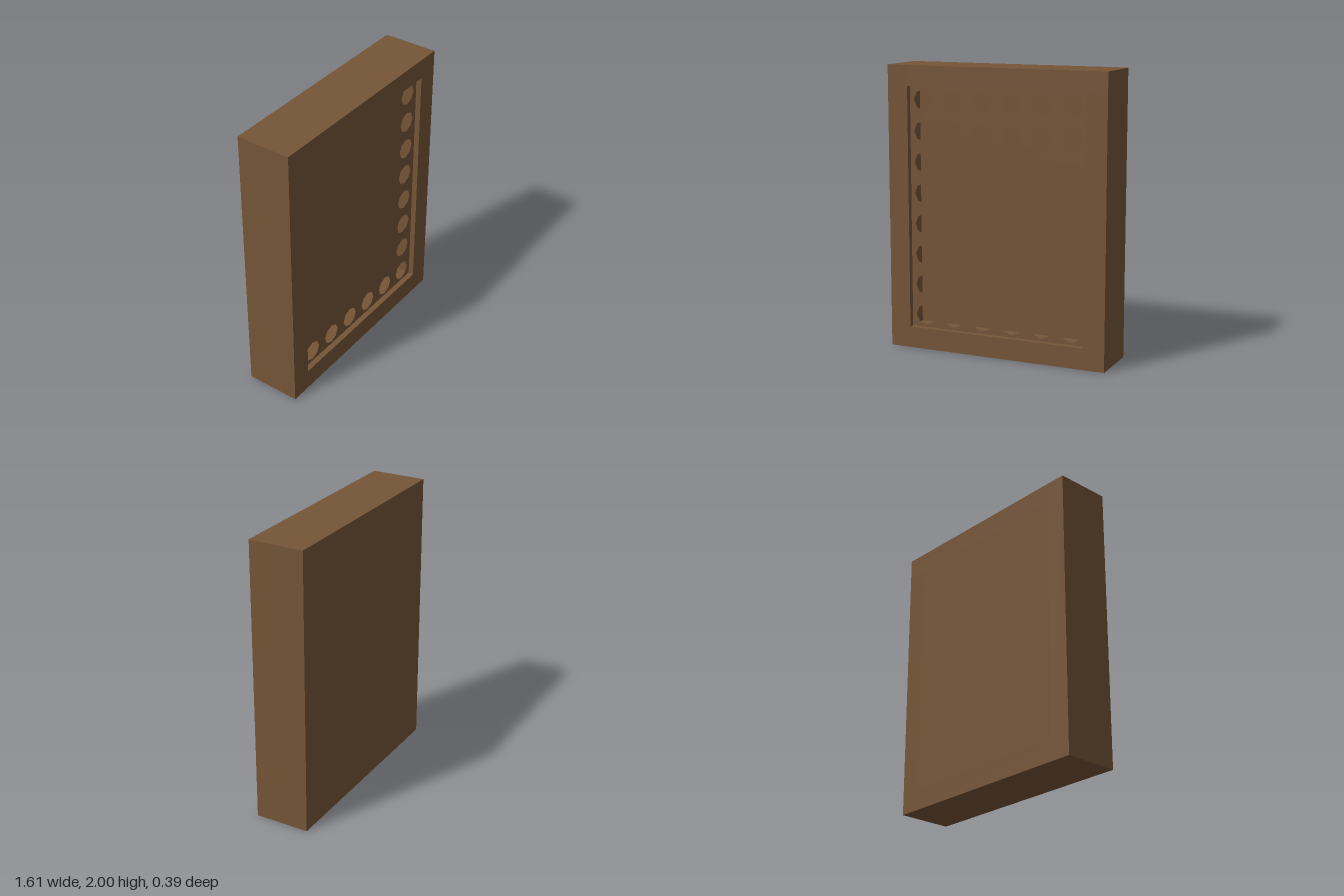
import * as THREE from 'three';

const wood = new THREE.MeshStandardMaterial({ color: 0x755538 });
wood.name = 'brown wood';
const screenWood = new THREE.MeshStandardMaterial({ color: 0x755538, side: THREE.DoubleSide });
screenWood.name = 'brown wood screen';

const W = 0.805, H = 2, D = 0.195; // half width, height, half depth
const B = 0.15;                    // frame bar width
const IN = W - B;                  // half width of the opening

export function createModel() {
  const model = new THREE.Group();
  model.name = 'latticeBox';

  // Box given by its minimum and maximum corners
  const box = (name, x0, x1, y0, y1, z0, z1) => {
    const mesh = new THREE.Mesh(new THREE.BoxGeometry(x1 - x0, y1 - y0, z1 - z0), wood);
    mesh.position.set((x0 + x1) / 2, (y0 + y1) / 2, (z0 + z1) / 2);
    mesh.name = name;
    model.add(mesh);
  };

  // Four bars overlapping around the corners like a pinwheel
  box('frameRight', -W, -IN, B, H, -D, D);
  box('frameTop', -IN, W, H - B + 0.008, H, -D, D);
  box('frameLeft', IN, W, 0, H - B + 0.008, -D, D);
  box('frameBottom', -W, IN, 0, B, -D, D);

  // Solid back filling the opening
  box('backBoard', -IN, IN, B, H - B + 0.008, -D, 0.01);

  // Thin recessed screen with a grid of octagonal holes
  const sheet = new THREE.Shape([
    new THREE.Vector2(-IN, B), new THREE.Vector2(IN, B),
    new THREE.Vector2(IN, H - B + 0.008), new THREE.Vector2(-IN, H - B + 0.008),
  ]);
  for (let row = 0; row < 8; row++) {
    for (let col = 0; col < 6; col++) {
      const cx = (col - 2.5) * 0.22, cy = 0.24 + row * 0.2175;
      const points = [];
      for (let i = 0; i < 8; i++) {
        const a = -i * Math.PI / 4;
        points.push(new THREE.Vector2(cx + 0.074 * Math.cos(a), cy + 0.074 * Math.sin(a)));
      }
      sheet.holes.push(new THREE.Path(points));
    }
  }
  const screen = new THREE.Mesh(new THREE.ShapeGeometry(sheet), screenWood);
  screen.position.z = 0.155;
  screen.name = 'perforatedScreen';
  model.add(screen);

  return model;
}
